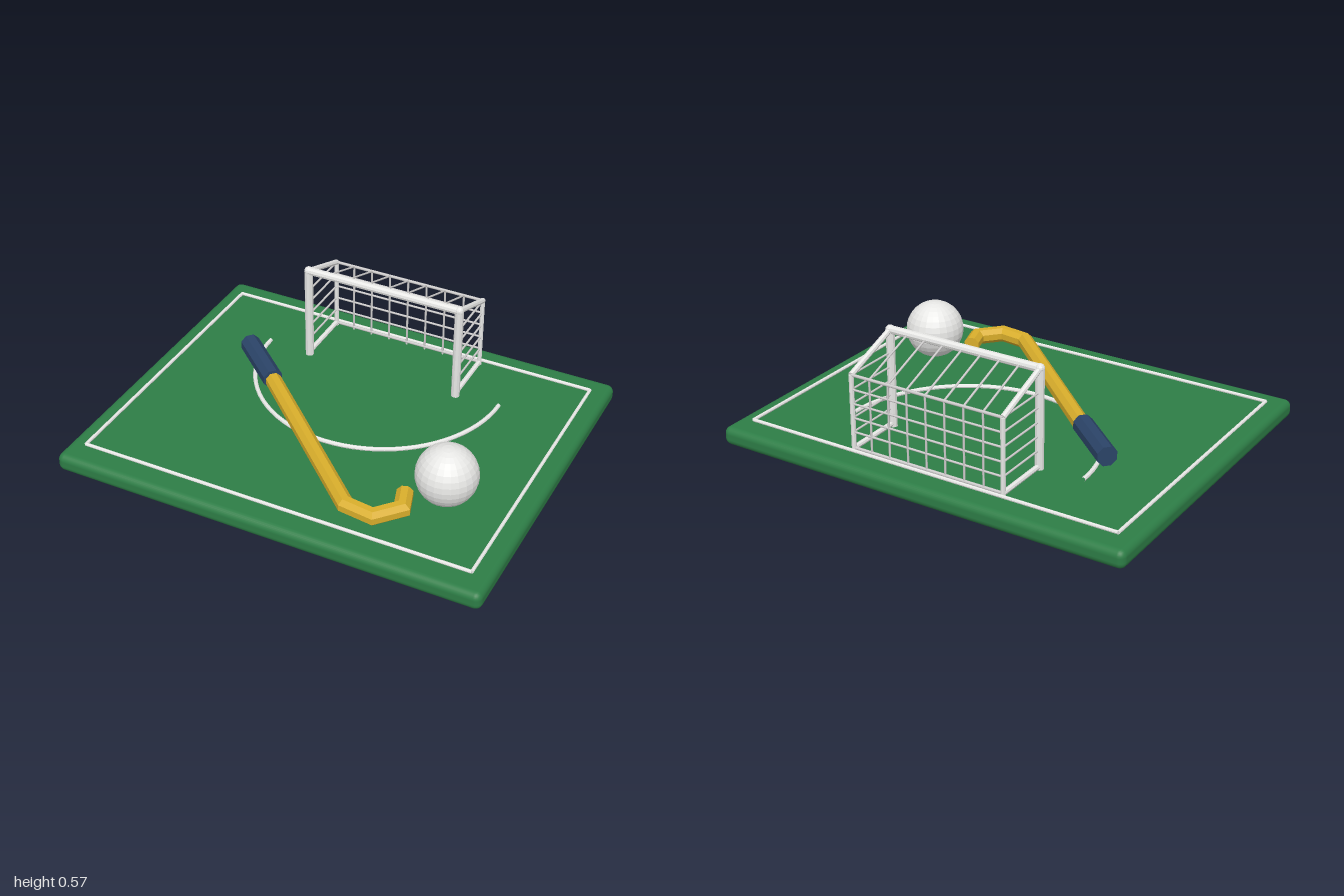
import * as THREE from 'three';
import { RoundedBoxGeometry } from 'three/addons/geometries/RoundedBoxGeometry.js';

const material = (name, color, flat = false) => {
  const m = new THREE.MeshStandardMaterial({ color, flatShading: flat });
  m.name = name;
  return m;
};

const V = (x, y, z) => new THREE.Vector3(x, y, z);

// Straight round bar between two points
function rod(name, a, b, radius, mat, sides = 8) {
  const dir = b.clone().sub(a);
  const mesh = new THREE.Mesh(new THREE.CylinderGeometry(radius, radius, dir.length(), sides), mat);
  mesh.position.copy(a).add(b).multiplyScalar(0.5);
  mesh.quaternion.setFromUnitVectors(V(0, 1, 0), dir.normalize());
  mesh.name = name;
  return mesh;
}

// Bar following a level path of [x, z] points, with mitred corners and closed ends
function bentBar(path, y, radius, sides) {
  const pos = [], index = [];
  const pts = path.map(([x, z]) => new THREE.Vector2(x, z));
  pts.forEach((p, i) => {
    const before = p.clone().sub(pts[Math.max(i - 1, 0)]).normalize();
    const after = pts[Math.min(i + 1, pts.length - 1)].clone().sub(p).normalize();
    const t = before.clone().add(after).normalize();
    const stretch = 1 / t.dot(i ? before : after);
    for (let k = 0; k < sides; k++) {
      const a = ((k + 0.5) / sides) * Math.PI * 2;
      const s = Math.cos(a) * radius * stretch;
      pos.push(p.x - t.y * s, y + Math.sin(a) * radius, p.y + t.x * s);
    }
  });
  for (let i = 0; i < pts.length - 1; i++) {
    for (let k = 0; k < sides; k++) {
      const a = i * sides + k, b = i * sides + (k + 1) % sides;
      index.push(a, a + sides, b, b, a + sides, b + sides);
    }
  }
  const last = (pts.length - 1) * sides;
  for (let k = 1; k < sides - 1; k++) {
    index.push(0, k, k + 1, last, last + k + 1, last + k);
  }
  const g = new THREE.BufferGeometry();
  g.setAttribute('position', new THREE.Float32BufferAttribute(pos, 3));
  g.setIndex(index);
  g.computeVertexNormals();
  return g;
}

export function createModel() {
  const model = new THREE.Group();
  model.name = 'hockeyField';
  const turf = material('turf green', 0x2d7d46);
  const white = material('white', 0xe8e8e6, true);
  const net = material('net grey', 0xd2d0d0);
  const yellow = material('stick yellow', 0xd9ae2b, true);
  const navy = material('grip navy', 0x2b4468, true);

  const add = (parent, name, geometry, mat) => {
    const mesh = new THREE.Mesh(geometry, mat);
    mesh.name = name;
    parent.add(mesh);
    return mesh;
  };

  // Field slab
  const top = 0.086;
  add(model, 'fieldBase', new RoundedBoxGeometry(2, top, 1.6, 3, 0.032), turf).position.y = top / 2;

  // Boundary lines
  const lines = new THREE.Group();
  lines.name = 'fieldLines';
  const lx = 0.915, lz = 0.688, ly = 0.097;
  for (const s of [-1, 1]) {
    lines.add(rod('endLine', V(-lx, ly, s * lz), V(lx, ly, s * lz), 0.008, white));
    lines.add(rod('sideLine', V(s * lx, ly, -lz), V(s * lx, ly, lz), 0.008, white));
  }
  // Shooting arc
  const arc = add(lines, 'shootingArc', new THREE.TorusGeometry(0.587, 0.01, 8, 40, Math.PI), white);
  arc.rotation.x = Math.PI / 2;
  arc.position.set(0, ly, -0.39);
  model.add(lines);

  // Goal frame
  const goal = new THREE.Group();
  goal.name = 'goal';
  const gx = 0.375, front = -0.387, back = -0.667, topY = 0.545, backY = 0.44;
  goal.add(rod('crossbar', V(-gx, topY, front), V(gx, topY, front), 0.019, white, 10));
  for (const x of [-gx, gx]) {
    goal.add(rod('frontPost', V(x, top, front), V(x, topY, front), 0.02, white, 10));
    add(goal, 'postCap', new THREE.SphereGeometry(0.021, 10, 8), white).position.set(x, topY, front);
    goal.add(rod('backPost', V(x, top, back), V(x, backY, back), 0.011, white));
    goal.add(rod('roofBar', V(x, topY, front), V(x, backY, back), 0.013, white));
    goal.add(rod('groundBar', V(x, 0.1, front), V(x, 0.1, back), 0.012, white));
  }
  goal.add(rod('backTopBar', V(-gx, backY, back), V(gx, backY, back), 0.007, net, 6));
  goal.add(rod('backGroundBar', V(-gx, 0.1, back), V(gx, 0.1, back), 0.007, net, 6));

  // Net strands
  for (let i = -3; i <= 3; i++) {
    const x = i * 0.0937;
    goal.add(rod('backNetStrand', V(x, top, back), V(x, backY, back), 0.005, net, 6));
    goal.add(rod('roofNetStrand', V(x, topY, front), V(x, backY, back), 0.005, net, 6));
  }
  for (let j = 0; j < 5; j++) {
    const y = 0.175 + j * 0.066;
    if (j < 4) goal.add(rod('backNetRow', V(-gx, y, back), V(gx, y, back), 0.005, net, 6));
    for (const x of [-gx, gx]) {
      goal.add(rod('sideNetRow', V(x, y, front), V(x, y, back), 0.005, net, 6));
    }
  }
  model.add(goal);

  // Stick with hooked head, and its grip
  const stick = new THREE.Group();
  stick.name = 'stick';
  const path = [[-0.42, -0.08], [0.307, 0.596], [0.441, 0.613], [0.528, 0.515], [0.495, 0.415]];
  add(stick, 'shaftAndHook', bentBar(path, 0.146, 0.038, 8), yellow);
  add(stick, 'grip', bentBar([[-0.622, -0.253], [-0.385, -0.045]], 0.152, 0.047, 8), navy);
  model.add(stick);

  // Ball
  add(model, 'ball', new THREE.SphereGeometry(0.136, 24, 16), white).position.set(0.643, 0.232, 0.325);

  return model;
}
